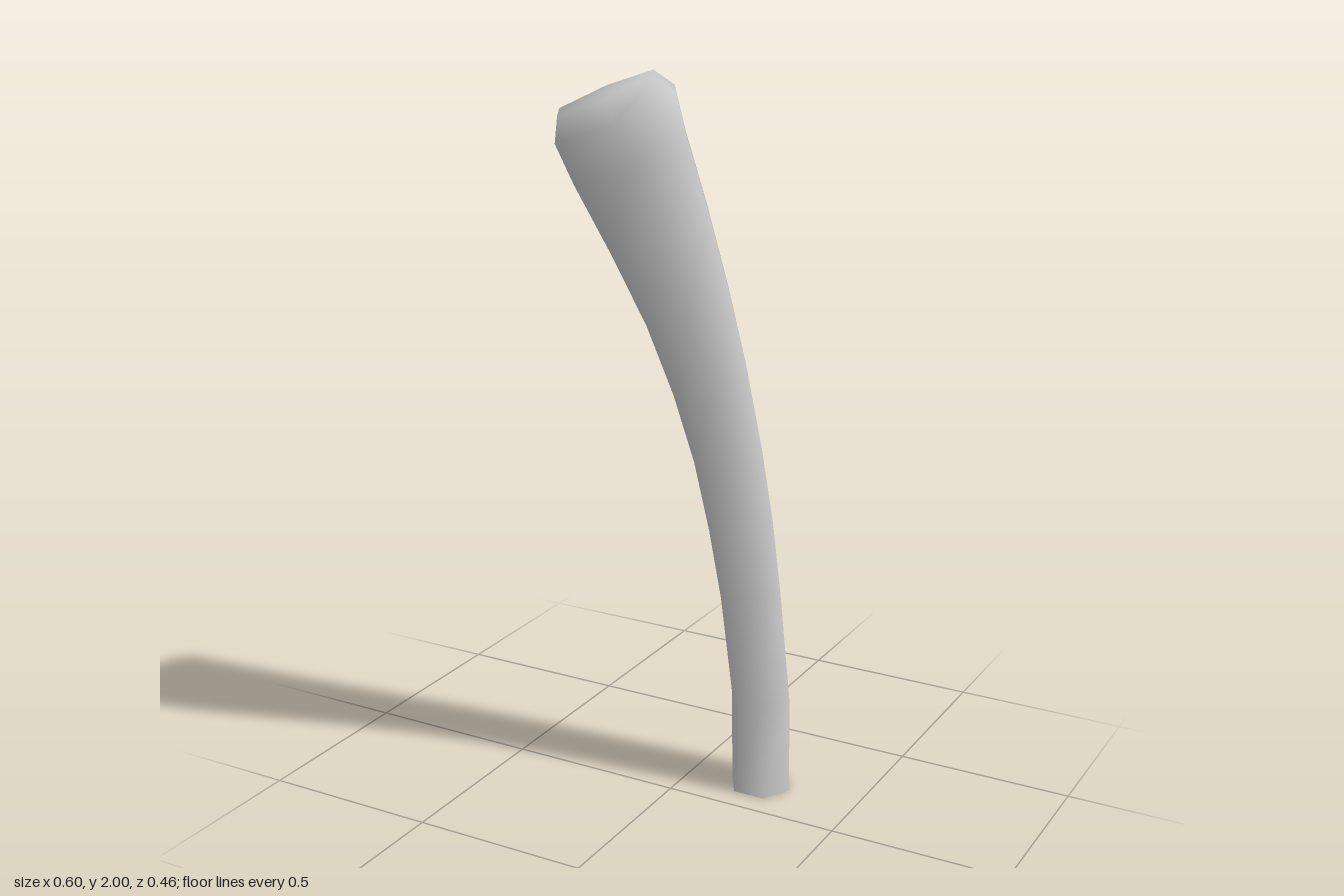
import * as THREE from 'three';

const SIDES = 6;

// Centre line of the stalk with its radius: x, y, z, r
const STATIONS = [
  [0.21, 0, -0.15, 0.09],
  [0.206, 0.28, -0.147, 0.09],
  [0.175, 0.6, -0.132, 0.094],
  [0.15, 0.8, -0.118, 0.1],
  [0.118, 1.0, -0.1, 0.106],
  [0.08, 1.2, -0.07, 0.117],
  [0.033, 1.4, -0.033, 0.132],
  [-0.026, 1.6, 0.008, 0.154],
  [-0.09, 1.79, 0.048, 0.176],
  [-0.123, 1.9, 0.065, 0.188],
  // Bevelled tip
  [-0.144, 1.953, 0.077, 0.15],
];

// Direction of the centre line at a station; the base is level
function tangentAt(k) {
  if (k === 0) return new THREE.Vector3(0, 1, 0);
  if (k >= STATIONS.length - 2) return new THREE.Vector3(-0.35, 1, 0.2).normalize();
  const [a, b] = [STATIONS[k - 1], STATIONS[k + 1]];
  return new THREE.Vector3(b[0] - a[0], b[1] - a[1], b[2] - a[2]).normalize();
}

function createStalkGeometry() {
  const positions = [];
  const index = [];
  const up = new THREE.Vector3(0, 1, 0);

  // Six-sided rings set square to the centre line
  STATIONS.forEach(([x, y, z, r], k) => {
    const turn = new THREE.Quaternion().setFromUnitVectors(up, tangentAt(k));
    for (let i = 0; i < SIDES; i++) {
      const angle = (i / SIDES) * Math.PI * 2;
      const p = new THREE.Vector3(r * Math.cos(angle), 0, r * Math.sin(angle)).applyQuaternion(turn);
      positions.push(x + p.x, y + p.y, z + p.z);
    }
  });

  // Walls between neighbouring rings
  for (let k = 0; k < STATIONS.length - 1; k++) {
    for (let i = 0; i < SIDES; i++) {
      const a = k * SIDES + i;
      const b = k * SIDES + ((i + 1) % SIDES);
      index.push(a, a + SIDES, b, b, a + SIDES, b + SIDES);
    }
  }

  // Flat cap over the last ring; the base stays open
  const last = STATIONS.length - 1;
  const centre = positions.length / 3;
  positions.push(...STATIONS[last].slice(0, 3));
  for (let i = 0; i < SIDES; i++) {
    index.push(centre, last * SIDES + ((i + 1) % SIDES), last * SIDES + i);
  }

  const geometry = new THREE.BufferGeometry();
  geometry.setAttribute('position', new THREE.Float32BufferAttribute(positions, 3));
  geometry.setIndex(index);
  geometry.computeVertexNormals();
  return geometry;
}

export function createModel() {
  const group = new THREE.Group();
  group.name = 'curvedStalk';
  const material = new THREE.MeshStandardMaterial({ color: 0xcccccc, side: THREE.DoubleSide });
  const stalk = new THREE.Mesh(createStalkGeometry(), material);
  stalk.name = 'stalk';
  group.add(stalk);
  return group;
}
